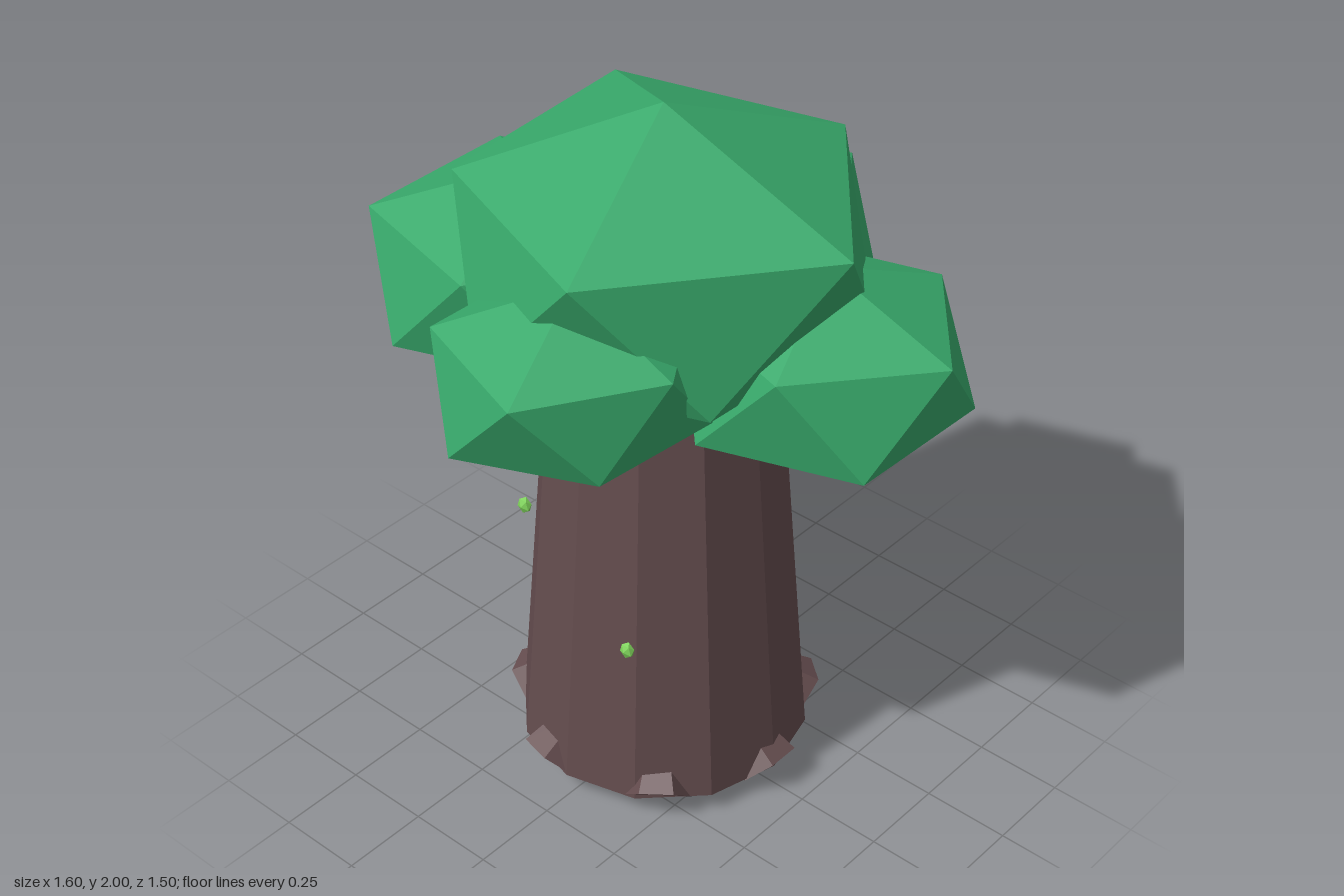
import * as THREE from 'three';

const CX = -0.01; // trunk axis

const bark = new THREE.MeshStandardMaterial({ color: 0x644c4e, flatShading: true, name: 'bark' });
const leaf = new THREE.MeshStandardMaterial({ color: 0x38a96b, flatShading: true, name: 'leaf' });
const moss = new THREE.MeshStandardMaterial({ color: 0x7ed25a, flatShading: true, name: 'moss' });

function add(parent, name, geometry, material, x = 0, y = 0, z = 0) {
  const mesh = new THREE.Mesh(geometry, material);
  mesh.name = name;
  mesh.position.set(x, y, z);
  parent.add(mesh);
  return mesh;
}

// Uneven twenty-sided leaf clump: two poles and two staggered rings of five.
// ys = heights of top pole, upper ring, lower ring, bottom pole.
function clumpGeometry(ys, upperRadii, lowerRadii) {
  const ring = (radii, y, offset) => radii.map((r, i) => {
    const a = THREE.MathUtils.degToRad(72 * i + offset);
    return [r * Math.cos(a), y, r * Math.sin(a)];
  });
  const top = [0, ys[0], 0];
  const bottom = [0, ys[3], 0];
  const U = ring(upperRadii, ys[1], 0);
  const L = ring(lowerRadii, ys[2], 36);
  const points = [];
  for (let i = 0; i < 5; i++) {
    const j = (i + 1) % 5;
    points.push(top, U[j], U[i], U[i], U[j], L[i], L[i], U[j], L[j], L[i], L[j], bottom);
  }
  const g = new THREE.BufferGeometry();
  g.setAttribute('position', new THREE.Float32BufferAttribute(points.flat(), 3));
  g.computeVertexNormals();
  return g;
}

export function createModel() {
  const tree = new THREE.Group();
  tree.name = 'tree';

  // Tapered twelve-sided trunk
  add(tree, 'trunk', new THREE.CylinderGeometry(0.3, 0.408, 1.335, 12), bark, CX, 0.065 + 0.6675, 0);

  // Seven stubby roots leaning into the foot of the trunk
  const rootGeometry = new THREE.CylinderGeometry(0.055, 0.095, 0.14, 6);
  rootGeometry.translate(0, 0.07, 0).rotateZ(Math.PI / 4);
  for (let i = 0; i < 7; i++) {
    const a = (i / 7) * Math.PI * 2;
    const root = add(tree, 'root', rootGeometry, bark,
      CX + 0.382 * Math.cos(a), 0.06, 0.382 * Math.sin(a));
    root.rotation.y = -a;
  }

  // Leaf clumps
  const clumps = [
    ['crown', CX, 0, [2.0, 1.785, 1.4, 1.2],
      [0.595, 0.566, 0.53, 0.588, 0.54], [0.51, 0.54, 0.57, 0.55, 0.54]],
    ['frontClump', 0.06, 0.41, [1.7, 1.56, 1.32, 1.16],
      [0.32, 0.36, 0.35, 0.34, 0.34], [0.3, 0.35, 0.32, 0.34, 0.34]],
    ['leftClump', 0.41, -0.135, [1.64, 1.505, 1.24, 1.08],
      [0.385, 0.35, 0.36, 0.36, 0.35], [0.37, 0.38, 0.36, 0.345, 0.385]],
    ['rightClump', -0.42, 0.07, [1.7, 1.555, 1.28, 1.1],
      [0.38, 0.38, 0.416, 0.42, 0.38], [0.38, 0.405, 0.38, 0.37, 0.38]],
    ['backClump', -0.08, -0.41, [1.7, 1.56, 1.32, 1.19],
      [0.33, 0.34, 0.34, 0.33, 0.335], [0.33, 0.34, 0.32, 0.36, 0.35]],
  ];
  for (const [name, x, z, ys, upper, lower] of clumps) {
    add(tree, name, clumpGeometry(ys, upper, lower), leaf, x, 0, z);
  }

  // Small moss tufts on the front of the trunk, one point facing outward
  const tuft = new THREE.IcosahedronGeometry(0.025, 0);
  tuft.rotateX(Math.atan(2 / (1 + Math.sqrt(5)))).scale(0.9, 1, 0.62);
  add(tree, 'mossTuft', tuft, moss, -0.182, 0.89, 0.358);
  add(tree, 'mossTuft', tuft, moss, 0.195, 0.615, 0.378);

  return tree;
}
